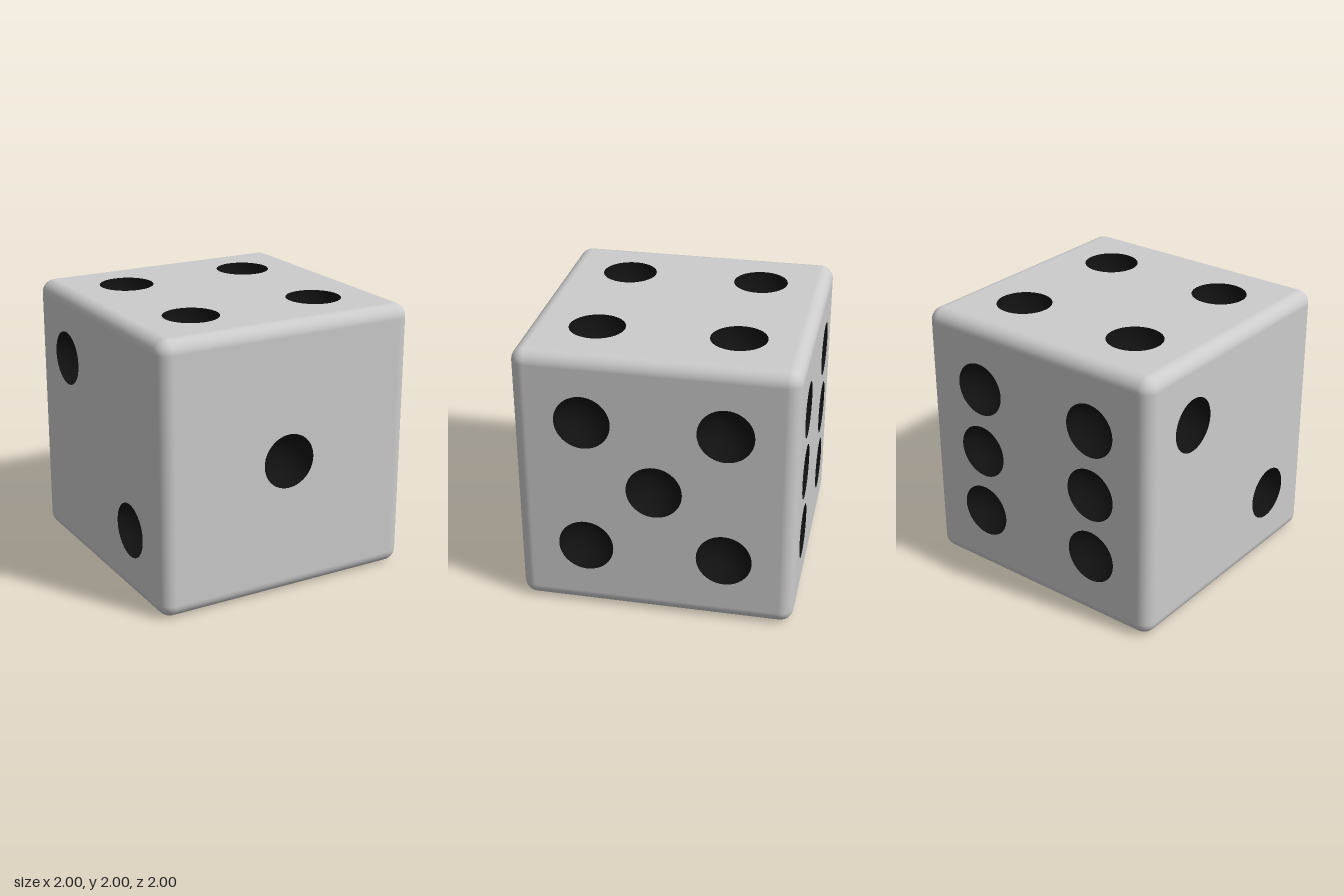
import * as THREE from 'three';
import { RoundedBoxGeometry } from 'three/addons/geometries/RoundedBoxGeometry.js';

const HALF = 1, BEVEL = 0.1, PIP = 0.2, SEG = 48;

// Rounded edges and corners only: a rounded box without its six large flat panels
function edgeFrameGeometry() {
  const box = new RoundedBoxGeometry(2 * HALF, 2 * HALF, 2 * HALF, 6, BEVEL).toNonIndexed();
  const pos = box.attributes.position, nor = box.attributes.normal;
  const p = [], n = [];
  const tri = new THREE.Triangle();
  for (let i = 0; i < pos.count; i += 3) {
    tri.setFromAttributeAndIndices(pos, i, i + 1, i + 2);
    const area = tri.getArea();
    if (area > 1 || area < 1e-9) continue;
    for (let k = i; k < i + 3; k++) {
      p.push(pos.getX(k), pos.getY(k), pos.getZ(k));
      n.push(nor.getX(k), nor.getY(k), nor.getZ(k));
    }
  }
  const g = new THREE.BufferGeometry();
  g.setAttribute('position', new THREE.Float32BufferAttribute(p, 3));
  g.setAttribute('normal', new THREE.Float32BufferAttribute(n, 3));
  return g;
}

// Flat square panel with a round opening for every pip
function panelGeometry(pips) {
  const s = HALF - BEVEL;
  const shape = new THREE.Shape().moveTo(-s, -s).lineTo(s, -s).lineTo(s, s).lineTo(-s, s).closePath();
  for (const [x, y] of pips) {
    shape.holes.push(new THREE.Path().absarc(x, y, PIP, 0, Math.PI * 2, true));
  }
  return new THREE.ShapeGeometry(shape, SEG / 2);
}

export function createModel() {
  const model = new THREE.Group();
  model.name = 'die';
  const bodyMat = new THREE.MeshStandardMaterial({ color: 0xcccccc });
  const pipMat = new THREE.MeshStandardMaterial({ color: 0x111111, side: THREE.DoubleSide });

  const frame = new THREE.Mesh(edgeFrameGeometry(), bodyMat);
  frame.name = 'roundedEdges';
  frame.position.y = HALF;
  model.add(frame);

  // Hollow bowl sunk below the face, opening towards +z
  const bowl = new THREE.SphereGeometry(PIP, SEG, 12, 0, Math.PI * 2, Math.PI / 2, Math.PI / 2);
  bowl.rotateX(Math.PI / 2);

  // Pip layouts, seen from outside each face
  const d = 0.5, q = Math.PI / 2;
  const centre = [[0, 0]];
  const diagonal = [[-d, d], [d, -d]];
  const corners = [...diagonal, [d, d], [-d, -d]];
  const faces = [
    ['front', 0, 0, centre],
    ['back', 0, 2 * q, [...corners, [-d, 0], [d, 0]]],
    ['positiveX', 0, q, [...corners, ...centre]],
    ['negativeX', 0, -q, diagonal],
    ['top', -q, 0, corners],
    ['bottom', q, 0, [...diagonal, ...centre]],
  ];

  for (const [name, rx, ry, pips] of faces) {
    const face = new THREE.Group();
    face.name = name + 'Face';
    face.position.y = HALF;
    face.rotation.set(rx, ry, 0);

    const panel = new THREE.Mesh(panelGeometry(pips), bodyMat);
    panel.name = name + 'Panel';
    panel.position.z = HALF;
    face.add(panel);

    pips.forEach(([x, y], i) => {
      const pip = new THREE.Mesh(bowl, pipMat);
      pip.name = `${name}Pip${i + 1}`;
      pip.position.set(x, y, HALF);
      face.add(pip);
    });
    model.add(face);
  }
  return model;
}
